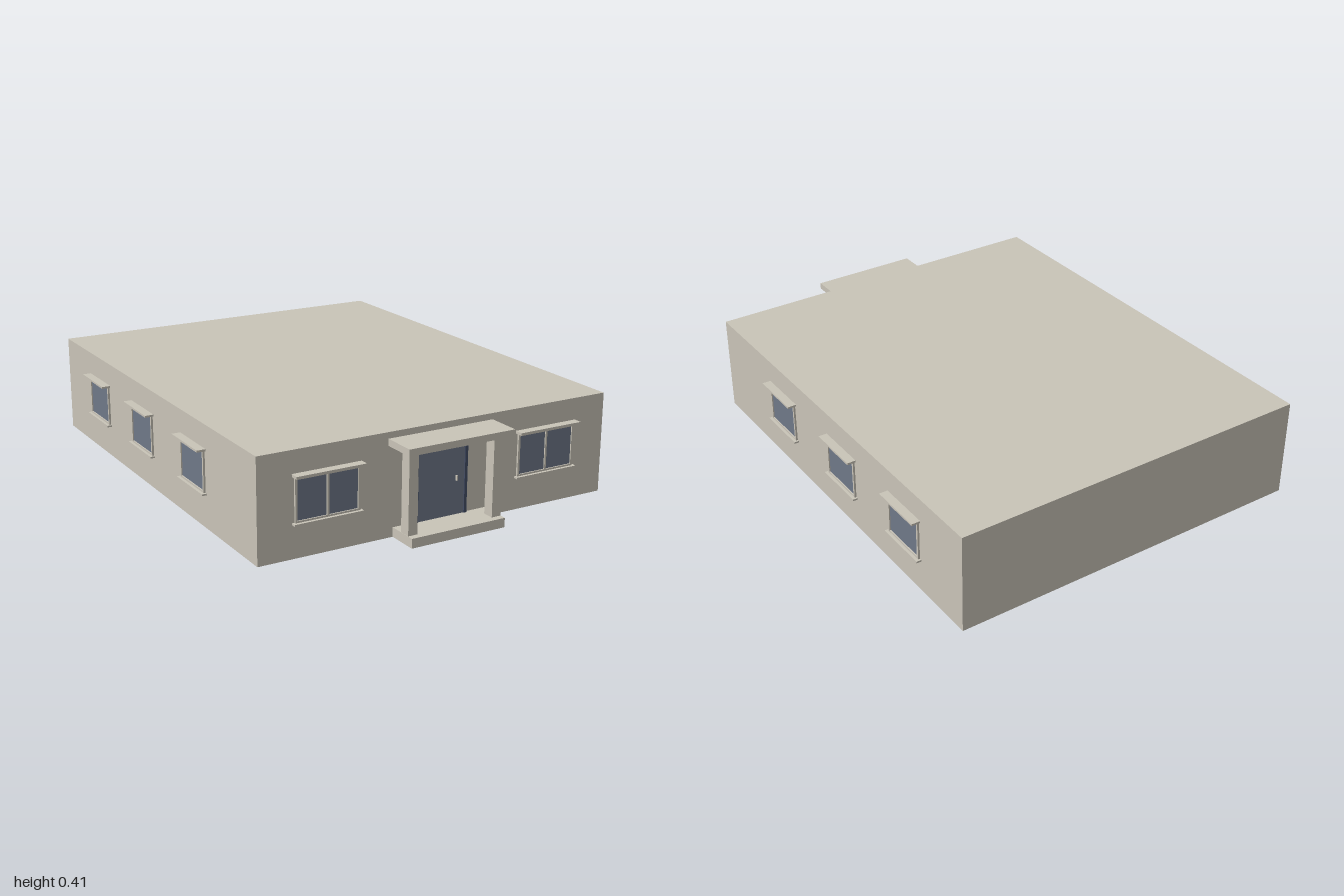
import * as THREE from 'three';

const wall = new THREE.MeshStandardMaterial({ name: 'beige plaster', color: 0xc9c4b8, side: THREE.DoubleSide });
const blue = new THREE.MeshStandardMaterial({ name: 'slate blue', color: 0x6f7888 });
const navy = new THREE.MeshStandardMaterial({ name: 'dark blue frame', color: 0x434d66 });

// Box given by its lower and upper limits; can be left open underneath
function box(parent, name, mat, [x0, y0, z0], [x1, y1, z1], openBottom = false) {
  const g = new THREE.BoxGeometry(x1 - x0, y1 - y0, z1 - z0);
  if (openBottom) {
    const index = Array.from(g.index.array);
    index.splice(18, 6);
    g.setIndex(index);
    g.clearGroups();
  }
  g.translate((x0 + x1) / 2, (y0 + y1) / 2, (z0 + z1) / 2);
  const m = new THREE.Mesh(g, mat);
  m.name = name;
  parent.add(m);
  return m;
}

// Window on the plane z = 0, facing +z, with its centre line at x = 0
function makeWindow(name, { half, ledge, y0, y1, hoodTop, mullion }) {
  const w = new THREE.Group();
  w.name = name;
  const f = 0.009, d = 0.008;
  box(w, 'glass', blue, [-half + f, y0 + 0.004, 0], [half - f, y1 - 0.004, 0.003]);
  for (const s of [-1, 1]) {
    const a = s * half, b = s * (half - f);
    box(w, 'jamb', wall, [Math.min(a, b), y0, 0], [Math.max(a, b), y1, d]);
  }
  box(w, 'topRail', wall, [-half, y1 - 0.007, 0], [half, y1, d]);
  box(w, 'bottomRail', wall, [-half, y0, 0], [half, y0 + 0.007, d]);
  if (mullion) box(w, 'mullion', wall, [-0.004, y0, 0], [0.004, y1, d]);
  box(w, 'hood', wall, [-ledge, y1, 0], [ledge, hoodTop, 0.036]);
  box(w, 'sill', wall, [-ledge, y0 - 0.007, 0], [ledge, y0, 0.02]);
  return w;
}

export function createModel() {
  const model = new THREE.Group();
  model.name = 'house';
  const X = 0.77, FRONT = 0.86;

  // Main block, hollow below a slightly raised floor
  box(model, 'walls', wall, [-X, 0, -1], [X, 0.412, FRONT], true);
  box(model, 'floor', wall, [-X + 0.001, 0.035, -0.999], [X - 0.001, 0.04, FRONT - 0.001]);

  // Porch
  const porch = new THREE.Group();
  porch.name = 'porch';
  model.add(porch);
  box(porch, 'step', wall, [-0.208, 0, FRONT], [0.208, 0.038, 0.99], true);
  box(porch, 'canopy', wall, [-0.232, 0.36, FRONT], [0.232, 0.387, 1]);
  for (const s of [-1, 1]) {
    const c = s * 0.187;
    box(porch, 'column', wall, [c - 0.02, 0.038, 0.915], [c + 0.02, 0.36, 0.963]);
  }

  // Door
  const door = new THREE.Group();
  door.name = 'door';
  model.add(door);
  box(door, 'doorPanel', blue, [-0.106, 0.038, FRONT], [0.106, 0.345, FRONT + 0.006]);
  box(door, 'frameLeft', navy, [0.104, 0.038, FRONT], [0.116, 0.352, FRONT + 0.01]);
  box(door, 'frameRight', navy, [-0.116, 0.038, FRONT], [-0.104, 0.352, FRONT + 0.01]);
  box(door, 'frameTop', navy, [-0.104, 0.345, FRONT], [0.104, 0.352, FRONT + 0.01]);
  box(door, 'handle', wall, [0.065, 0.175, FRONT + 0.006], [0.07, 0.195, FRONT + 0.014]);

  // Windows, mirrored left and right
  for (const s of [-1, 1]) {
    const front = makeWindow('frontWindow', { half: 0.134, ledge: 0.143, y0: 0.138, y1: 0.312, hoodTop: 0.323, mullion: true });
    front.position.set(s * 0.487, 0, FRONT);
    model.add(front);
    for (const z of [0.337, -0.149, -0.614]) {
      const side = makeWindow('sideWindow', { half: 0.105, ledge: 0.114, y0: 0.142, y1: 0.309, hoodTop: 0.317 });
      side.position.set(s * X, 0, z);
      side.rotation.y = s * Math.PI / 2;
      model.add(side);
    }
  }
  return model;
}
